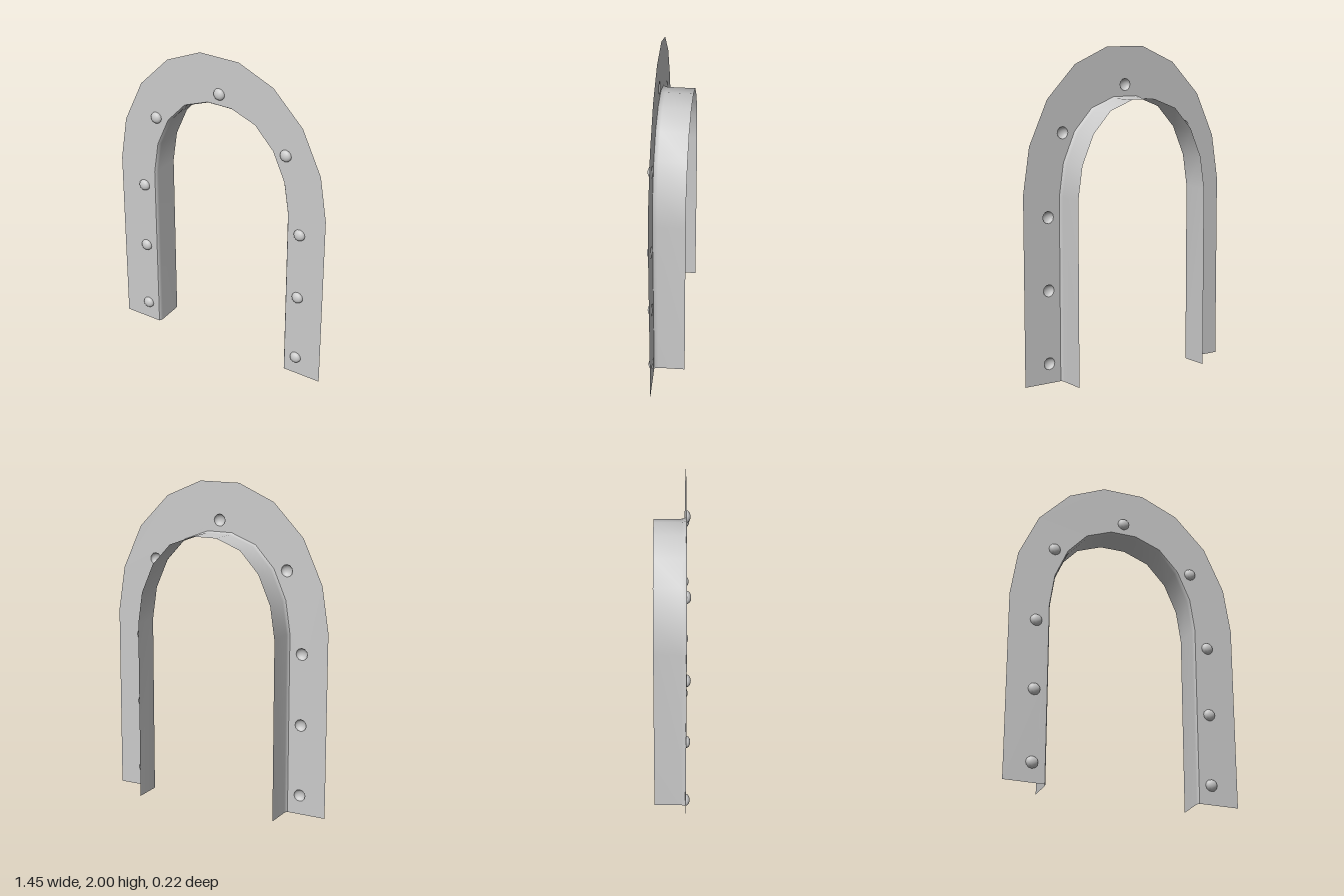
import * as THREE from 'three';

const FRONT = 0.082, BACK = -0.108, RIVET_R = 0.037;

// Right half of each outline, from the foot up; mirrored to a full arch
const arch = (half) => {
  const right = half.map(([x, y]) => new THREE.Vector2(x, y));
  const left = right.map((p) => new THREE.Vector2(-p.x, p.y)).reverse();
  return [...right, ...left];
};
const outer = arch([[0.724, 0], [0.724, 1.15], [0.68, 1.43], [0.555, 1.7], [0.36, 1.9], [0.13, 2]]);
const inner = arch([[0.466, 0], [0.466, 1.12], [0.436, 1.32], [0.357, 1.5], [0.237, 1.63], [0.08, 1.69]]);

// Pushes an arch outline away from the opening
const offset = (points, d) => points.map((p, i) => {
  const a = points[Math.max(i - 1, 0)], b = points[Math.min(i + 1, points.length - 1)];
  const t = b.clone().sub(a).normalize();
  const foot = i === 0 || i === points.length - 1;
  return new THREE.Vector2(p.x + t.y * d, foot ? 0 : p.y - t.x * d);
});

// Open strip lofted through outlines at given depths, facing the opening
function loft(sections) {
  const n = sections[0].points.length, pos = [], index = [];
  sections.forEach(({ points, z }) => points.forEach((p) => pos.push(p.x, p.y, z)));
  for (let s = 0; s < sections.length - 1; s++) {
    for (let i = 0; i < n - 1; i++) {
      const a = s * n + i, c = a + n;
      index.push(a, a + 1, c, a + 1, c + 1, c);
    }
  }
  const geo = new THREE.BufferGeometry();
  geo.setAttribute('position', new THREE.Float32BufferAttribute(pos, 3));
  geo.setIndex(index);
  geo.computeVertexNormals();
  return geo;
}

export function createModel() {
  const group = new THREE.Group();
  const mat = new THREE.MeshStandardMaterial({ color: 0xcccccc, side: THREE.DoubleSide });
  const add = (name, geo) => {
    const mesh = new THREE.Mesh(geo, mat);
    mesh.name = name;
    group.add(mesh);
    return mesh;
  };

  const rivets = [[0, 1.77]];
  for (const s of [-1, 1]) {
    rivets.push([s * 0.555, 0.12], [s * 0.555, 0.565], [s * 0.555, 1.005], [s * 0.45, 1.5]);
  }

  // Thin front plate, open behind each hollow rivet
  const lip = offset(inner, 0.01);
  const shape = new THREE.Shape([...outer, ...lip.slice().reverse()]);
  for (const [x, y] of rivets) {
    shape.holes.push(new THREE.Path().absarc(x, y, RIVET_R, 0, Math.PI * 2, true));
  }
  add('frontPlate', new THREE.ShapeGeometry(shape, 6).translate(0, 0, FRONT));

  // Lining of the opening, with a small rolled edge at the plate
  add('innerLining', loft([
    { points: lip, z: FRONT },
    { points: offset(inner, 0.004), z: FRONT - 0.008 },
    { points: inner, z: FRONT - 0.025 },
    { points: inner, z: BACK },
  ]));

  // Domed rivets
  const dome = new THREE.SphereGeometry(RIVET_R, 12, 5, 0, Math.PI * 2, 0, Math.PI / 2)
    .rotateX(Math.PI / 2).scale(1, 1, 0.7);
  for (const [x, y] of rivets) add('rivet', dome).position.set(x, y, FRONT);

  return group;
}
